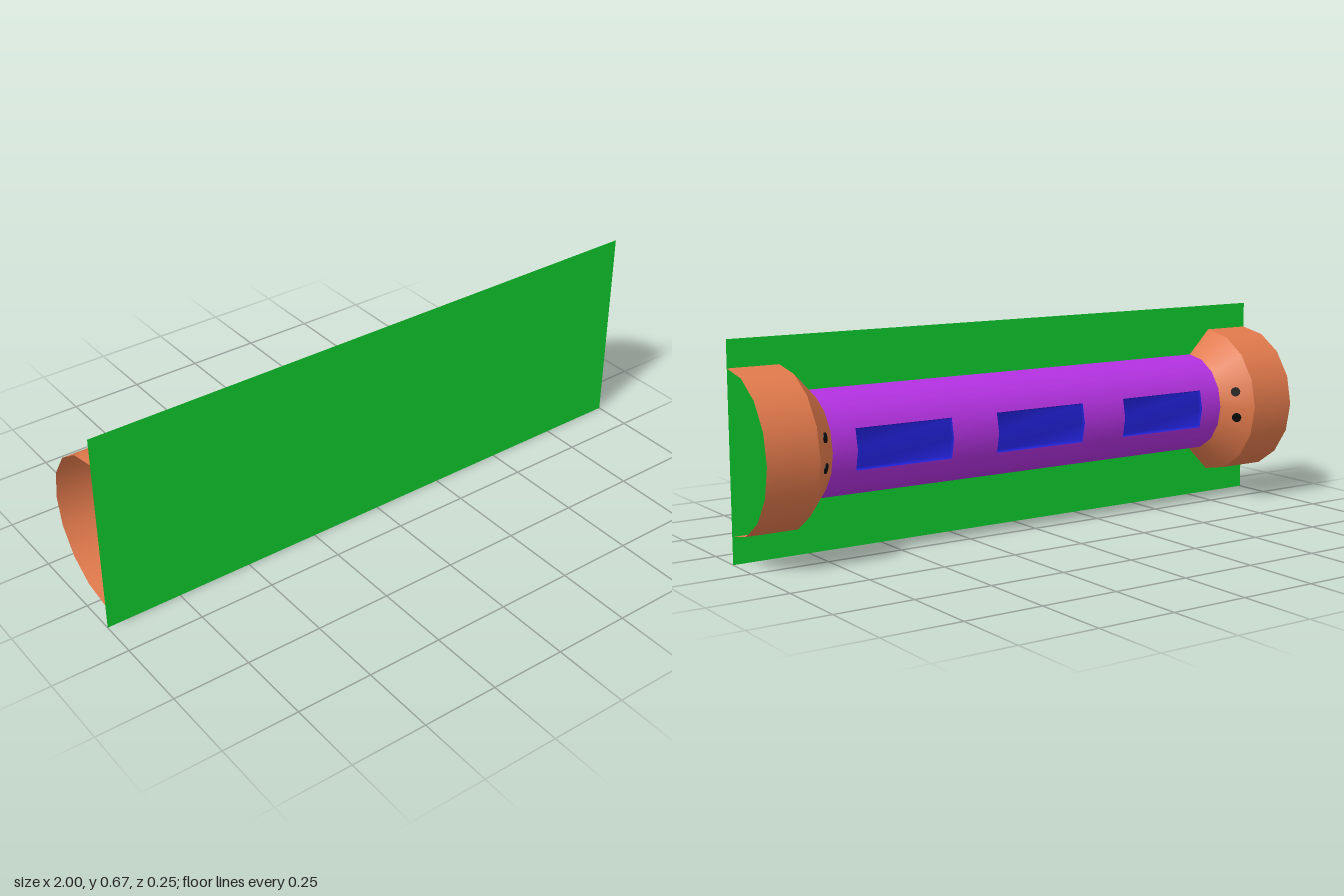
import * as THREE from 'three';

const material = (name, color) => {
  const m = new THREE.MeshStandardMaterial({ color, side: THREE.DoubleSide });
  m.name = name;
  return m;
};

export function createModel() {
  const green = material('green', 0x0fd02f);
  const orange = material('orange', 0xe27a4c);
  const purple = material('purple', 0xb432e2);
  const blue = material('blue', 0x2222dd);
  const black = material('black', 0x0a0a0a);

  const AXIS_Y = 0.335, PLATE_Z = 0.125;
  const R = 0.1667, R_POCKET = 0.15, R_END = 0.25;
  const STEP = Math.PI / 8; // half circle in eight facets

  const model = new THREE.Group();
  const tube = new THREE.Group(); // origin on the tube axis, in the plate
  tube.name = 'halfTube';
  tube.position.set(0, AXIS_Y, PLATE_Z);
  model.add(tube);

  const add = (parent, name, geometry, mat) => {
    const mesh = new THREE.Mesh(geometry, mat);
    mesh.name = name;
    parent.add(mesh);
    return mesh;
  };

  // Open shell along x bulging towards -z, covering facets from..to of eight
  const shell = (x0, x1, r0, r1, from = 0, to = 8) => {
    const g = new THREE.CylinderGeometry(r1, r0, x1 - x0, to - from, 1, true,
      Math.PI / 2 + from * STEP, (to - from) * STEP);
    g.rotateZ(-Math.PI / 2);
    g.translate((x0 + x1) / 2, 0, 0);
    return g;
  };

  // Recessed window: a grid whose border sits on the tube and whose middle is sunk
  const pocket = (x0, x1) => {
    const g = new THREE.PlaneGeometry(1, 1, 3, 4);
    const xs = [x1, x1, x0, x0];
    const angles = [STEP, STEP, 0, -STEP, -STEP];
    const p = g.attributes.position;
    for (let j = 0; j < 5; j++) {
      for (let i = 0; i < 4; i++) {
        const border = i === 0 || i === 3 || j === 0 || j === 4;
        const r = border ? R : R_POCKET;
        p.setXYZ(j * 4 + i, xs[i], r * Math.sin(angles[j]), -r * Math.cos(angles[j]));
      }
    }
    g.computeVertexNormals();
    return g;
  };

  // Back plate
  const plate = add(model, 'plate', new THREE.PlaneGeometry(2, 2 * AXIS_Y), green);
  plate.position.set(0, AXIS_Y, PLATE_Z);

  // Tube body: full-length strips above and below, bridges between the windows
  add(tube, 'lowerBody', shell(-0.75, 0.75, R, R, 0, 3), purple);
  add(tube, 'upperBody', shell(-0.75, 0.75, R, R, 5, 8), purple);
  const bridges = [[-0.75, -0.667], [-0.333, -0.167], [0.167, 0.333], [0.667, 0.75]];
  bridges.forEach(([a, b], i) => {
    add(tube, 'bridge', shell(a, b, R, R, 3, 5), purple);
    if (i < 3) add(tube, 'window', pocket(b, bridges[i + 1][0]), blue);
  });

  // Flared open ends, each with two small dots on the flare
  for (const s of [-1, 1]) {
    const end = new THREE.Group();
    end.name = s > 0 ? 'leftEnd' : 'rightEnd';
    tube.add(end);
    const span = (xa, xb, ra, rb) => (s > 0 ? shell(xa, xb, ra, rb) : shell(-xb, -xa, rb, ra));
    add(end, 'flare', span(0.75, 0.833, R, R_END), orange);
    add(end, 'collar', span(0.833, 1, R_END, R_END), orange);
    for (const [x, y, z, facet] of [[0.791, 0.054, -0.197, 0.5], [0.793, -0.035, -0.203, -0.5]]) {
      const dot = add(end, 'dot', new THREE.CylinderGeometry(0.016, 0.016, 0.006, 16), black);
      dot.position.set(s * x, y, z);
      const normal = new THREE.Vector3(-s, Math.sin(facet * STEP), -Math.cos(facet * STEP)).normalize();
      dot.quaternion.setFromUnitVectors(new THREE.Vector3(0, 1, 0), normal);
    }
  }

  return model;
}
